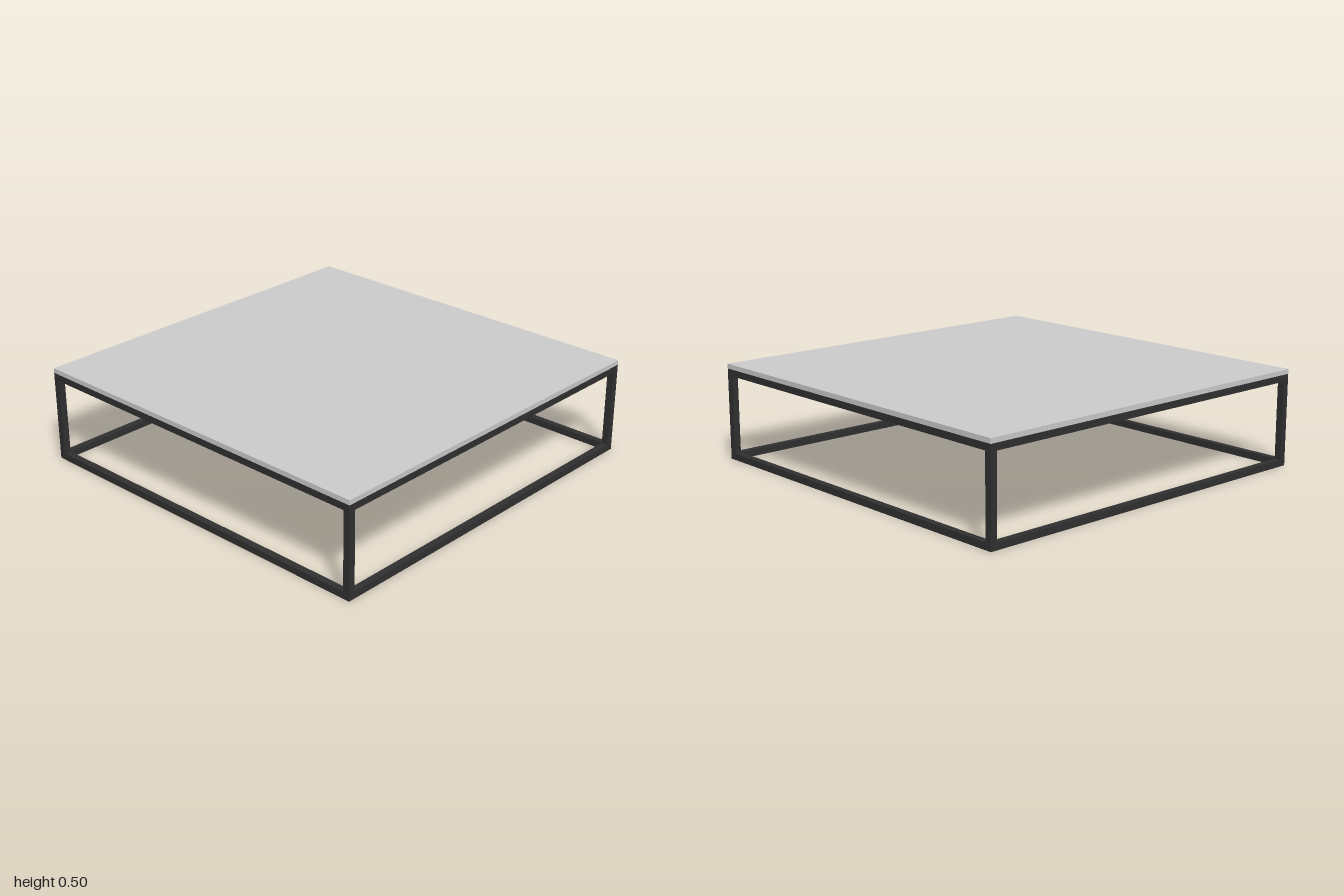
import * as THREE from 'three';

const HALF = 1;        // half width and depth
const BAR = 0.035;     // square tube thickness
const FRAME_H = 0.475; // height of the frame
const TOP_H = 0.025;   // thickness of the table top

export function createModel() {
  const model = new THREE.Group();
  const topMaterial = new THREE.MeshStandardMaterial({ color: 0xcccccc });
  const frameMaterial = new THREE.MeshStandardMaterial({ color: 0x303030 });

  const addBox = (parent, name, size, position, material) => {
    const mesh = new THREE.Mesh(new THREE.BoxGeometry(...size), material);
    mesh.name = name;
    mesh.position.set(...position);
    parent.add(mesh);
  };

  // Table top
  addBox(model, 'tableTop', [2 * HALF, TOP_H, 2 * HALF], [0, FRAME_H + TOP_H / 2, 0], topMaterial);

  const frame = new THREE.Group();
  frame.name = 'frame';
  model.add(frame);
  const offset = HALF - BAR / 2;
  const inner = 2 * (HALF - BAR);

  // Corner legs, full frame height
  for (const [x, sideName] of [[offset, 'Left'], [-offset, 'Right']]) {
    for (const [z, endName] of [[offset, 'front'], [-offset, 'back']]) {
      addBox(frame, `${endName}${sideName}Leg`, [BAR, FRAME_H, BAR], [x, FRAME_H / 2, z], frameMaterial);
    }
  }

  // Rails between the legs, at the floor and under the top
  for (const [y, level] of [[BAR / 2, 'lower'], [FRAME_H - BAR / 2, 'upper']]) {
    addBox(frame, `${level}FrontRail`, [inner, BAR, BAR], [0, y, offset], frameMaterial);
    addBox(frame, `${level}BackRail`, [inner, BAR, BAR], [0, y, -offset], frameMaterial);
    addBox(frame, `${level}LeftRail`, [BAR, BAR, inner], [offset, y, 0], frameMaterial);
    addBox(frame, `${level}RightRail`, [BAR, BAR, inner], [-offset, y, 0], frameMaterial);
  }

  return model;
}
